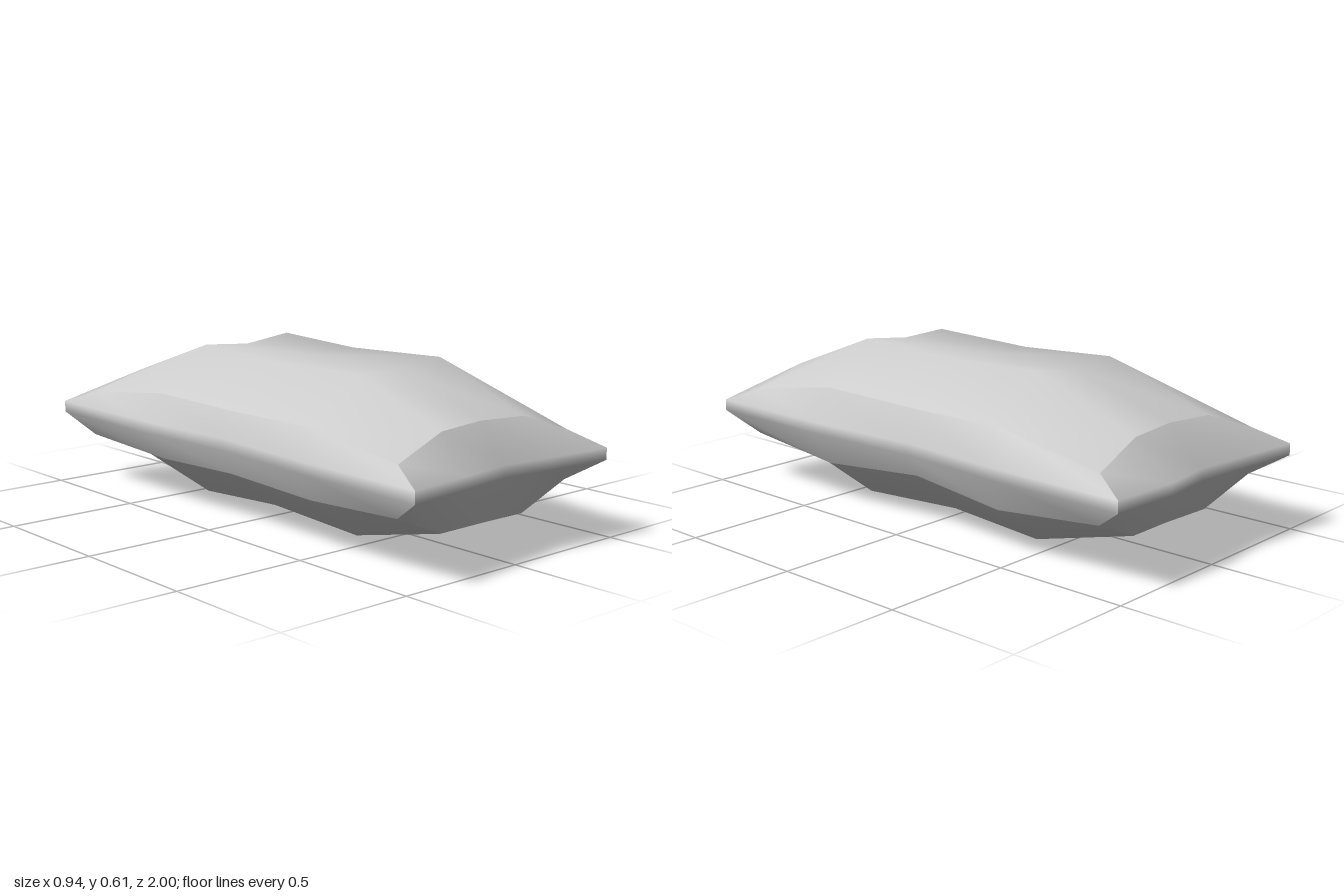
import * as THREE from 'three';

const material = new THREE.MeshStandardMaterial({ color: 0xcccccc });

// Smooth surface through rows of points; its edges stay sharp against neighbours
function patch(name, rows) {
  const cols = rows[0].length;
  const index = [];
  for (let i = 0; i < rows.length - 1; i++) {
    for (let j = 0; j < cols - 1; j++) {
      const a = i * cols + j, b = a + cols, c = b + 1, d = a + 1;
      index.push(a, b, c, a, c, d);
    }
  }
  const geometry = new THREE.BufferGeometry();
  geometry.setAttribute('position', new THREE.Float32BufferAttribute(rows.flat(2), 3));
  geometry.setIndex(index);
  geometry.computeVertexNormals();
  const mesh = new THREE.Mesh(geometry, material);
  mesh.name = name;
  return mesh;
}

// Panel plan: columns run left to right in x, rows run back to front in z
const panelX = [-0.41, -0.2, 0, 0.2, 0.405];
const panelZ = [
  [-0.87, -0.83, -0.81, -0.82, -0.835],
  [-0.4, -0.4, -0.4, -0.4, -0.4],
  [0, 0, 0, 0, 0],
  [0.45, 0.45, 0.45, 0.45, 0.45],
  [0.865, 0.85, 0.835, 0.85, 0.865],
];
const topY = [
  [0.375, 0.45, 0.457, 0.45, 0.375],
  [0.43, 0.595, 0.58, 0.605, 0.45],
  [0.42, 0.575, 0.582, 0.59, 0.44],
  [0.43, 0.585, 0.58, 0.605, 0.45],
  [0.375, 0.45, 0.457, 0.45, 0.38],
];
const bottomY = [
  [0.2, 0.11, 0.105, 0.11, 0.2],
  [0.18, 0.02, 0.025, 0, 0.157],
  [0.19, 0.04, 0.05, 0.025, 0.195],
  [0.18, 0.02, 0.025, 0, 0.157],
  [0.2, 0.11, 0.105, 0.11, 0.2],
];
const waist = [1, 1, 0.97, 1, 1];

const panel = (heights) => heights.map((row, i) =>
  row.map((y, j) => [panelX[j] * waist[i], y, panelZ[i][j]]));

// Outer seam, given as x and z on the same 5 x 5 layout (only the rim is used)
const seamX = [-0.468, -0.2, 0, 0.2, 0.468];
const seamBackZ = [-1, -0.97, -0.95, -0.972, -0.957];
const seamFrontZ = [1, 0.97, 0.945, 0.97, 0.995];
const seamSideX = [0.468, 0.467, 0.44, 0.467, 0.468];
const seamSideZ = [-1, -0.42, 0, 0.48, 1];

function seam(y) {
  return seamSideZ.map((z, i) => seamX.map((x, j) => {
    if (i === 0) return [x, y, seamBackZ[j]];
    if (i === 4) return [x, y, seamFrontZ[j]];
    return [Math.sign(x) * seamSideX[i], y, z];
  }));
}

// The four rims of a 5 x 5 layout, counter-clockwise from above
const rims = {
  frontEdge: (g) => g[4],
  leftEdge: (g) => g.map((row) => row[4]).reverse(),
  backEdge: (g) => [...g[0]].reverse(),
  rightEdge: (g) => g.map((row) => row[0]),
};

export function createModel() {
  const pillow = new THREE.Group();
  pillow.name = 'pillow';

  // Padded top and bottom panels
  const top = panel(topY);
  const bottom = panel(bottomY);
  pillow.add(patch('topPanel', top));
  pillow.add(patch('bottomPanel', [...bottom].reverse()));

  // Tapered edges, rounded over the narrow seam
  const layers = [top, seam(0.325), seam(0.282), bottom];
  for (const [name, rim] of Object.entries(rims)) {
    pillow.add(patch(name, layers.map(rim)));
  }
  return pillow;
}
